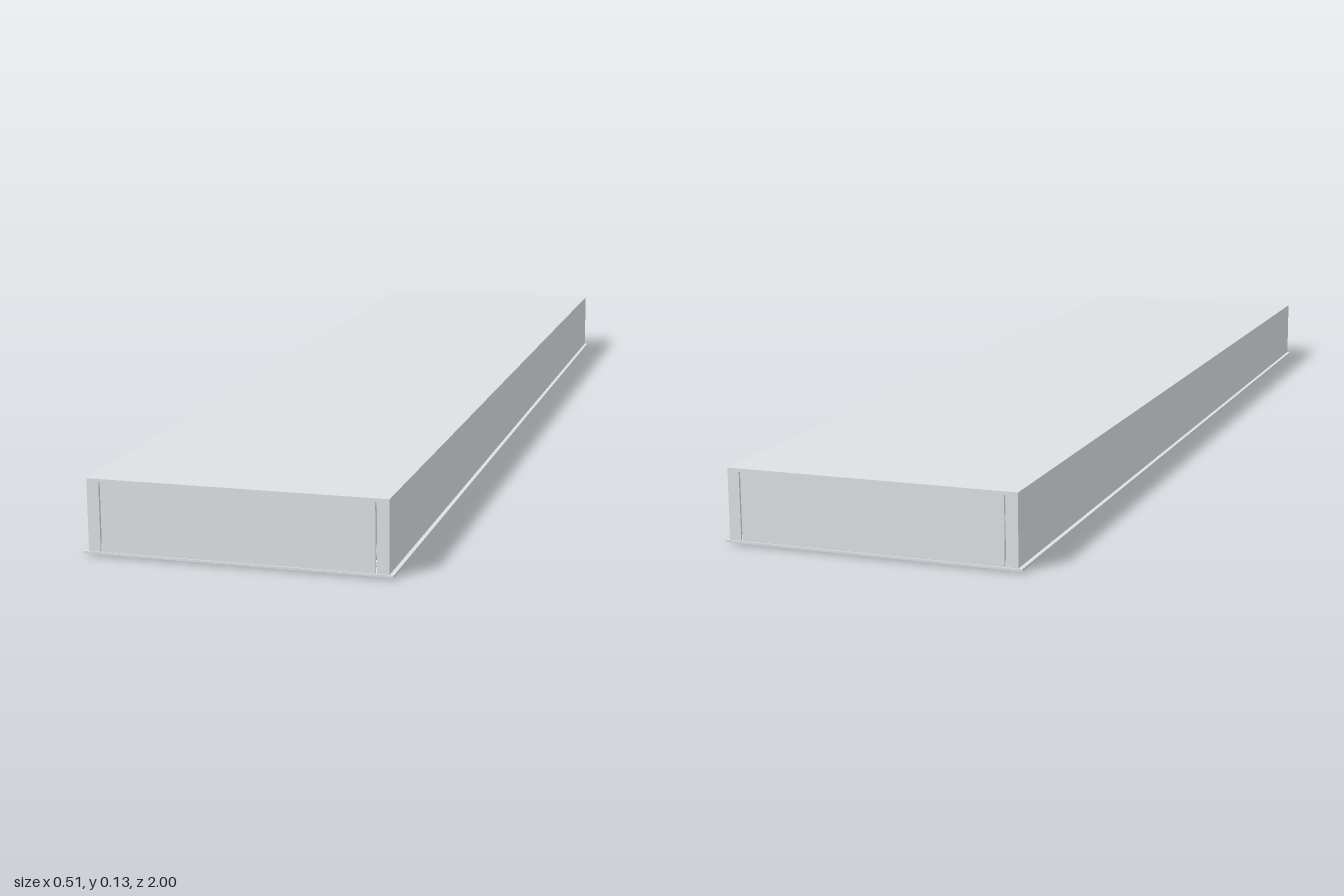
import * as THREE from 'three';
import { toCreasedNormals } from 'three/addons/utils/BufferGeometryUtils.js';

export function createModel() {
  const root = new THREE.Group();
  root.name = 'recessedLouvreLight';
  const metal = new THREE.MeshStandardMaterial({ color: 0xdde1e4 });
  metal.name = 'paleGreyMetal';

  const add = (name, geometry, x = 0, y = 0, z = 0) => {
    const mesh = new THREE.Mesh(geometry, metal);
    mesh.name = name;
    mesh.position.set(x, y, z);
    root.add(mesh);
    return mesh;
  };
  // Box given by its limits
  const box = (name, x0, x1, y0, y1, z0, z1) =>
    add(name, new THREE.BoxGeometry(x1 - x0, y1 - y0, z1 - z0),
      (x0 + x1) / 2, (y0 + y1) / 2, (z0 + z1) / 2);
  // Closed outline from limits, for shapes and holes
  const rect = (path, x0, x1, y0, y1) =>
    path.moveTo(x0, y0).lineTo(x1, y0).lineTo(x1, y1).lineTo(x0, y1).closePath();
  const extrude = (shape, depth) =>
    new THREE.ExtrudeGeometry(shape, { depth, bevelEnabled: false }).translate(0, 0, -depth / 2);

  // Housing: top and side sheets
  box('topPanel', -0.25, 0.25, 0.125, 0.128, -0.998, 0.998);
  for (const s of [-1, 1]) {
    const side = box('sidePanel', 0.247, 0.25, 0.005, 0.125, -0.998, 0.998);
    side.position.x *= s;
  }

  // End plates with a narrow slit beside each corner tab
  const endShape = rect(new THREE.Shape(), -0.247, 0.247, 0.005, 0.125);
  for (const s of [-1, 1]) {
    endShape.holes.push(rect(new THREE.Path(), s * 0.2285 - 0.0012, s * 0.2285 + 0.0012, 0.007, 0.122));
  }
  const endPlate = extrude(endShape, 0.003);
  for (const s of [-1, 1]) add('endPanel', endPlate, 0, 0, s * 0.9965);

  // Flat rim around the opening
  const rim = rect(new THREE.Shape(), -0.257, 0.257, -1, 1);
  rim.holes.push(rect(new THREE.Path(), -0.222, 0.222, -0.965, 0.965));
  add('rim', extrude(rim, 0.004).rotateX(-Math.PI / 2), 0, 0.005, 0);

  // Curved reflector above each lamp, a thin arched sheet
  const arch = (w, h) => new THREE.SplineCurve([
    [-1, 0], [-0.94, 0.35], [-0.78, 0.7], [-0.45, 0.93], [0, 1],
    [0.45, 0.93], [0.78, 0.7], [0.94, 0.35], [1, 0],
  ].map(([x, y]) => new THREE.Vector2(x * w, y * h))).getPoints(28);
  const sheet = new THREE.Shape([...arch(0.1, 0.073), ...arch(0.097, 0.07).reverse()]);
  const length = 1.86;
  const reflector = toCreasedNormals(extrude(sheet, length), 0.6);

  // Lamp tube
  const tube = new THREE.CylinderGeometry(0.028, 0.028, length, 28).rotateX(Math.PI / 2);

  // Wedge-shaped cross blade
  const wedge = new THREE.Shape();
  wedge.moveTo(-0.003, 0).lineTo(0.003, 0).lineTo(0.014, 0.042).lineTo(-0.014, 0.042).closePath();
  const blade = extrude(wedge, 0.202).rotateY(Math.PI / 2);

  // Sloping side rail of the louvre
  const railShape = new THREE.Shape();
  railShape.moveTo(0.104, 0).lineTo(0.107, 0).lineTo(0.099, 0.042).lineTo(0.096, 0.042).closePath();
  const rail = extrude(railShape, length);

  for (const s of [-1, 1]) {
    const cx = s * 0.109;
    add('reflector', reflector, cx, 0.046, 0);
    add('lampTube', tube, cx, 0.078, 0);
    add('louvreRail', rail, cx, 0.004, 0);
    add('louvreRail', rail, cx, 0.004, 0).rotation.y = Math.PI;
    for (let i = -4; i <= 4; i++) add('crossBlade', blade, cx, 0.004, i * 0.21);
    for (const e of [-1, 1]) {
      const holder = box('lampHolder', -0.025, 0.025, 0.045, 0.12, 0.925, 0.955);
      holder.position.x = cx;
      holder.position.z *= e;
      const clip = box('louvreClip', 0.208, 0.217, 0, 0.006, 0.925, 0.938);
      clip.position.x *= s;
      clip.position.z *= e;
    }
  }
  // Narrow strip joining the two louvre rows
  box('centreSpine', -0.006, 0.006, 0.005, 0.007, -0.93, 0.93);

  return root;
}
